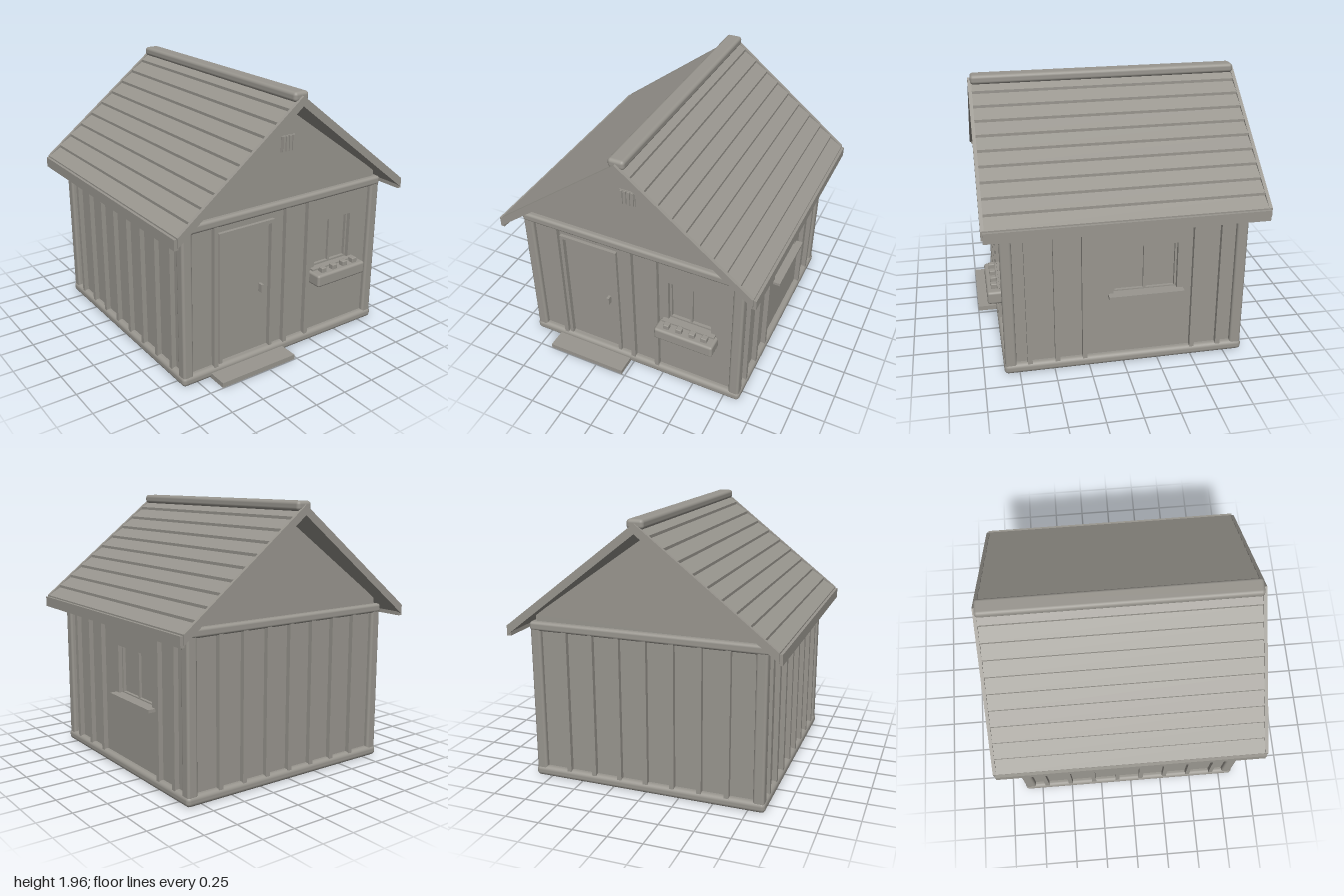
import * as THREE from 'three';
import { RoundedBoxGeometry } from 'three/addons/geometries/RoundedBoxGeometry.js';

const ZC = -0.015;   // centre of the house body in z
const HALF = 0.83;   // half width of the walls
const WALL = 0.07;   // wall thickness
const T = 0.035;     // batten depth
const SLOPE = 0.777; // roof fall per unit of x
const FRONT = ZC + HALF, BACK = ZC - HALF;

export function createModel() {
  const model = new THREE.Group();
  model.name = 'gardenShed';
  const grey = new THREE.MeshStandardMaterial({ color: 0x99968f });
  grey.name = 'weatheredGrey';

  function add(parent, name, geometry, x = 0, y = 0, z = 0) {
    const mesh = new THREE.Mesh(geometry, grey);
    mesh.name = name;
    mesh.position.set(x, y, z);
    parent.add(mesh);
    return mesh;
  }
  // Boxes are given by their lower and upper limits.
  function box(parent, name, x0, x1, y0, y1, z0, z1, radius = 0) {
    const w = x1 - x0, h = y1 - y0, d = z1 - z0;
    const geometry = radius
      ? new RoundedBoxGeometry(w, h, d, 3, radius)
      : new THREE.BoxGeometry(w, h, d);
    return add(parent, name, geometry, (x0 + x1) / 2, (y0 + y1) / 2, (z0 + z1) / 2);
  }
  function group(name, parent = model) {
    const g = new THREE.Group();
    g.name = name;
    parent.add(g);
    return g;
  }
  const outline = (points) => new THREE.Shape(points.map(([x, y]) => new THREE.Vector2(x, y)));
  const rectangle = (x0, x1, y0, y1) => [[x0, y0], [x1, y0], [x1, y1], [x0, y1]];
  const extrude = (shape, depth) => new THREE.ExtrudeGeometry(shape, { depth, bevelEnabled: false });

  // Walls with openings; a window sits back in its opening
  function makeWall(name, windowAt, doorway) {
    const wall = group(name);
    const shape = outline(rectangle(-HALF, HALF, 0.05, 1.18));
    if (doorway) shape.holes.push(outline(rectangle(...doorway)));
    if (windowAt) {
      const [x, y, w, h] = windowAt, a = w / 2, b = h / 2, f = 0.014;
      shape.holes.push(outline(rectangle(x - a, x + a, y - b, y + b)));
      const g = group('window', wall);
      g.position.set(x, y, -0.04);
      box(g, 'pane', -a, a, -b, b, -0.02, -0.012);
      for (const s of [-1, 1]) {
        const u = s * (a - f / 2), v = s * (b - f / 2);
        box(g, 'frameSide', u - f / 2, u + f / 2, -b, b, -0.02, 0.01);
        box(g, 'frameRail', -a, a, v - f / 2, v + f / 2, -0.02, 0.01);
      }
      box(g, 'mullion', -0.009, 0.009, -b, b, -0.02, 0.008);
    }
    add(wall, 'wallPanel', extrude(shape, WALL), 0, 0, -WALL);
    return wall;
  }
  makeWall('frontWall', [0.455, 0.753, 0.335, 0.36], [-0.547, -0.133, 0.08, 1.044]).position.z = FRONT;
  const back = makeWall('backWall');
  back.position.z = BACK;
  back.rotation.y = Math.PI;
  const left = makeWall('leftWall', [0.142, 0.735, 0.46, 0.36]);
  left.position.set(HALF, 0, ZC);
  left.rotation.y = Math.PI / 2;
  const right = makeWall('rightWall');
  right.position.set(-HALF, 0, ZC);
  right.rotation.y = -Math.PI / 2;

  // Floor set up inside the base beams
  box(model, 'floor', -HALF, HALF, 0.055, 0.08, BACK, FRONT);

  // Gable block between the wall tops and the ridge
  const gable = outline([[-HALF, 1.17], [HALF, 1.17], [HALF, 1.23], [0, 1.82], [-HALF, 1.23]]);
  add(model, 'gable', extrude(gable, 2 * HALF), 0, 0, BACK);

  // Rounded beams running round the foot and the head of the walls
  function beamRing(name, y0, y1, out, radius) {
    const g = group(name);
    for (const s of [-1, 1]) {
      const a = s * (out - 0.045);
      box(g, 'crossBeam', -out, out, y0, y1, ZC + a - 0.045, ZC + a + 0.045, radius);
      box(g, 'sideBeam', a - 0.045, a + 0.045, y0, y1, ZC - out, ZC + out, radius);
    }
  }
  beamRing('baseBeams', 0.005, 0.08, 0.873, 0.03);
  beamRing('headBeams', 1.12, 1.185, 0.869, 0.02);

  // Corner posts with eased edges
  const posts = group('cornerPosts');
  for (const sx of [-1, 1]) for (const sz of [-1, 1]) {
    const x = sx * 0.825, z = ZC + sz * 0.825;
    box(posts, 'cornerPost', x - 0.04, x + 0.04, 0.05, 1.17, z - 0.04, z + 0.04, 0.018);
  }

  // Vertical battens covering the board joints
  const battens = group('battens');
  const B = 0.017;
  for (let i = -3; i <= 3; i++) {
    const x = i * 0.2;
    box(battens, 'backBatten', x - B, x + B, 0.07, 1.13, BACK - T, BACK);
    if (i === -3 || i === 0 || i === 1)
      box(battens, 'frontBatten', x - B, x + B, 0.07, 1.13, FRONT, FRONT + T);
  }
  for (let i = 0; i < 8; i++) {
    const z = 0.675 - i * 0.197;
    box(battens, 'rightBatten', -HALF - T, -HALF, 0.07, 1.17, z - B, z + B);
    if (i < 3 || i > 5)
      box(battens, 'leftBatten', HALF, HALF + T, 0.07, 1.17, z - B, z + B);
  }

  // Roof: stepped planks, verge boards and an eave board on each side
  const TOP = 1.935, UNDER = 1.87, EAVE = 0.965, ROWS = 10, STEP = EAVE / ROWS;
  for (const s of [-1, 1]) {
    const roof = group(s > 0 ? 'roofLeft' : 'roofRight');
    const section = [[0, UNDER], [s * EAVE, UNDER - SLOPE * EAVE]];
    for (let i = ROWS; i > 0; i--) {
      section.push([s * i * STEP, TOP - SLOPE * i * STEP]);
      section.push([s * (i - 1) * STEP, TOP - 0.02 - SLOPE * (i - 1) * STEP]);
    }
    add(roof, 'roofPlanks', extrude(outline(section), 1.925), 0, 0, -0.98);

    const verge = outline([
      [0, UNDER - 0.003], [s * EAVE, UNDER - 0.003 - SLOPE * EAVE],
      [s * EAVE, TOP - SLOPE * EAVE], [0, TOP],
    ]);
    for (const z of [-0.998, 0.943])
      add(roof, 'vergeBoard', extrude(verge, 0.024), 0, 0, z);

    const x = s * 0.97;
    box(roof, 'eaveBoard', x - 0.015, x + 0.015, 1.1, 1.175, -0.985, 0.955);
  }
  box(model, 'ridgeCap', -0.06, 0.06, 1.893, 1.96, -0.985, 0.95, 0.024);

  // Gable vent with upright slats
  const vent = group('gableVent');
  box(vent, 'ventPlate', -0.057, 0.057, 1.527, 1.64, FRONT, FRONT + 0.008);
  for (const x of [-0.042, -0.014, 0.014, 0.042])
    box(vent, 'ventSlat', x - 0.008, x + 0.008, 1.53, 1.637, FRONT, FRONT + 0.018);

  // Door set a little into its opening, with trim and handle, and the step in front
  const door = group('door');
  box(door, 'doorLeaf', -0.547, -0.133, 0.08, 1.044, FRONT - 0.05, FRONT - 0.012);
  box(door, 'doorTrimSide', -0.57, -0.545, 0.08, 1.068, FRONT, FRONT + 0.025);
  box(door, 'doorTrimSide', -0.135, -0.11, 0.08, 1.068, FRONT, FRONT + 0.025);
  box(door, 'doorTrimTop', -0.545, -0.135, 1.042, 1.068, FRONT, FRONT + 0.025);
  box(door, 'doorHandle', -0.213, -0.193, 0.53, 0.592, FRONT - 0.012, FRONT + 0.025);
  box(model, 'doorStep', -0.65, -0.025, 0.008, 0.045, 0.84, 1.0);

  // Sill under the side window
  box(model, 'windowSill', HALF - 0.03, 0.885, 0.537, 0.56, -0.43, 0.11);

  // Planter under the front window
  const planter = group('planter');
  box(planter, 'planterBox', 0.228, 0.682, 0.476, 0.57, 0.81, 0.94, 0.018);
  box(planter, 'planterLedge', 0.25, 0.66, 0.565, 0.582, FRONT, 0.85);
  for (const x of [0.31, 0.41, 0.51, 0.605])
    box(planter, 'plant', x - 0.022, x + 0.022, 0.56, 0.606, 0.866, 0.91, 0.006);

  return model;
}
